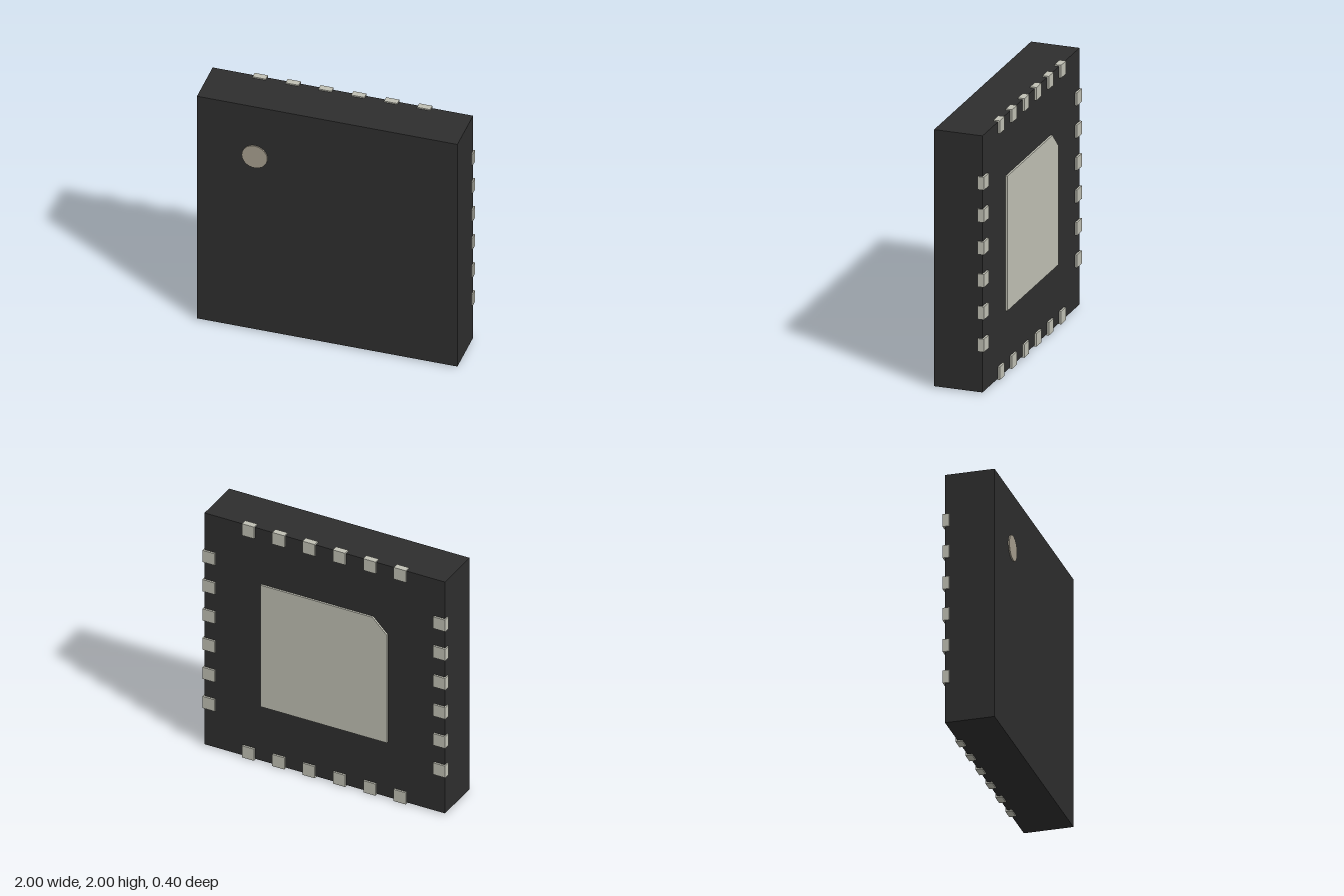
import * as THREE from 'three';

const bodyMat = new THREE.MeshStandardMaterial({ color: 0x2e2e2e });
const metalMat = new THREE.MeshStandardMaterial({ color: 0xc0c0b4 });
const dotMat = new THREE.MeshStandardMaterial({ color: 0xa69e8e });

export function createModel() {
  const model = new THREE.Group();
  const add = (name, geometry, material, x, y, z) => {
    const mesh = new THREE.Mesh(geometry, material);
    mesh.name = name;
    mesh.position.set(x, y, z);
    model.add(mesh);
    return mesh;
  };

  // Moulded package body
  add('body', new THREE.BoxGeometry(1.98, 1.98, 0.375), bodyMat, 0, 1, 0.0025);

  // Round orientation mark on the front
  const dot = add('orientationMark', new THREE.CylinderGeometry(0.097, 0.097, 0.02, 32), dotMat, -0.55, 1.55, 0.19);
  dot.rotation.x = Math.PI / 2;

  // Six contacts along each edge, wrapping from the back onto the side
  const contact = new THREE.BoxGeometry(0.1, 0.1, 0.05);
  for (let i = 0; i < 6; i++) {
    const along = (i - 2.5) * 0.25;
    for (const side of [-0.95, 0.95]) {
      add('sideContact', contact, metalMat, side, 1 + along, -0.175);
      add('edgeContact', contact, metalMat, along, 1 + side, -0.175);
    }
  }

  // Central pad on the back, one corner cut to match the mark
  const h = 0.52, cut = 0.12;
  const outline = new THREE.Shape([
    [-h, -h], [h, -h], [h, h], [-h + cut, h], [-h, h - cut],
  ].map(([x, y]) => new THREE.Vector2(x, y)));
  add('centralPad', new THREE.ExtrudeGeometry(outline, { depth: 0.05, bevelEnabled: false }), metalMat, 0, 1, -0.2);

  return model;
}
